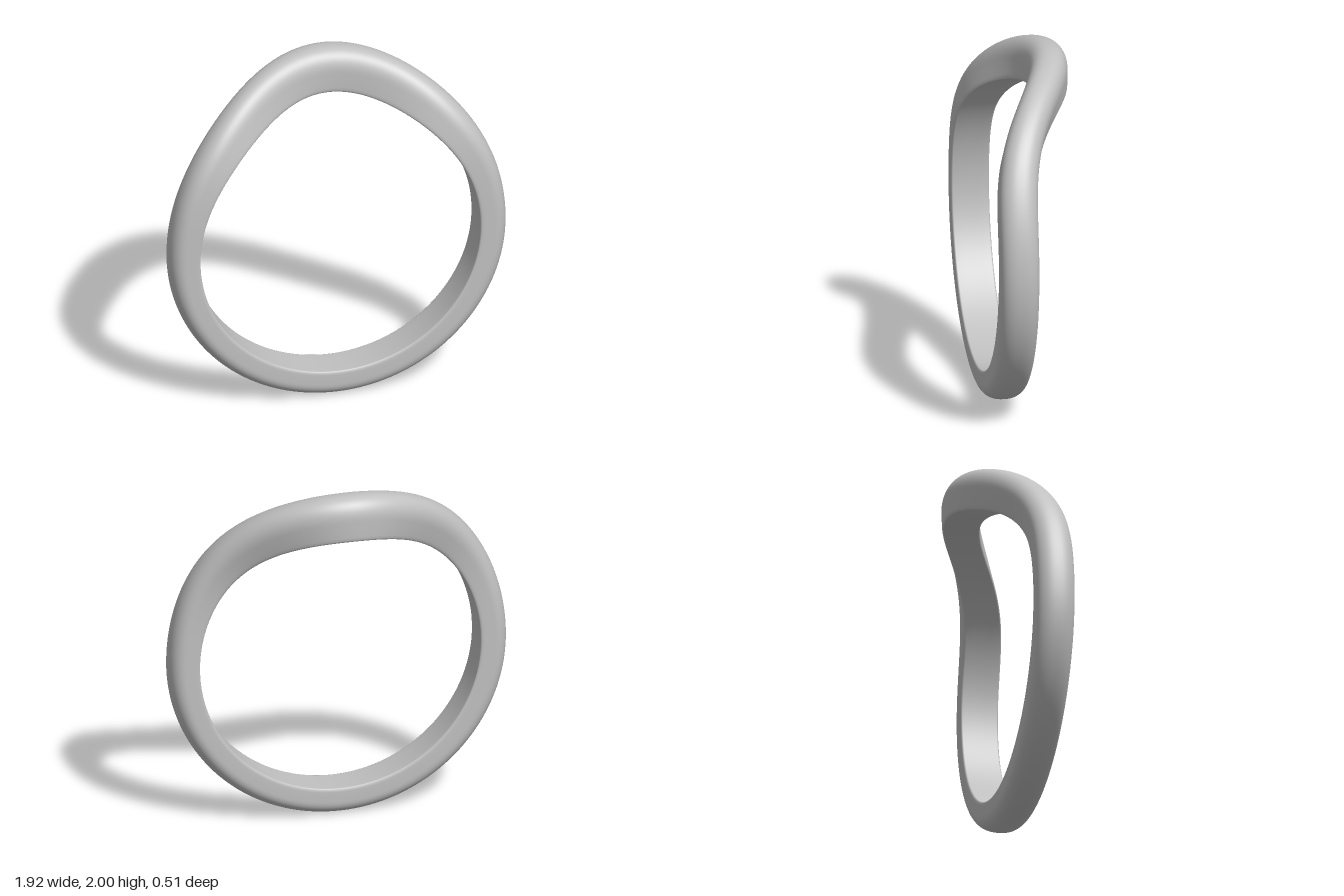
import * as THREE from 'three';

// Half-round band section: u across the width (-1..1), v from inner face (0) to crown (1)
function bandSection() {
  const pts = [];
  // rounded crown, from the front side over to the back side
  const steps = 28, shoulder = 0.48, n = 2 / 2.3;
  for (let k = 0; k <= steps; k++) {
    const a = (k / steps) * Math.PI;
    const c = Math.cos(a), s = Math.max(0, Math.sin(a));
    pts.push([Math.sign(c) * Math.abs(c) ** n, shoulder + (1 - shoulder) * s ** n]);
  }
  // back side, softened edge, flat inner face, softened edge, front side
  const half = [[1, 0.3], [1, 0.12], [0.985, 0.05], [0.95, 0.01], [0.9, 0], [0.5, 0]];
  half.forEach(([u, v]) => pts.push([-u, v]));
  pts.push([0, 0]);
  half.slice().reverse().forEach(([u, v]) => pts.push([u, v]));
  return pts;
}

// Sweeps the section around the ring, pushing the top backwards and thickening it
function bandGeometry() {
  const section = bandSection(), m = section.length, rings = 192;
  const inner = 0.797, thickness = 0.161, halfWidth = 0.107, centreY = 0.958;
  const position = [], index = [];
  for (let i = 0; i < rings; i++) {
    const t = (i / rings) * Math.PI * 2;
    const up = Math.max(0, Math.cos(t));
    const z = 0.147 - 0.295 * up ** 5;
    const depth = thickness + 0.084 * up ** 2;
    section.forEach(([u, v], j) => {
      const r = inner + depth * v;
      position.push(r * Math.sin(t), centreY + r * Math.cos(t), z + halfWidth * u);
      const a = i * m + j, b = ((i + 1) % rings) * m + j;
      const c = i * m + (j + 1) % m, d = ((i + 1) % rings) * m + (j + 1) % m;
      index.push(a, b, c, b, d, c);
    });
  }
  const geometry = new THREE.BufferGeometry();
  geometry.setAttribute('position', new THREE.Float32BufferAttribute(position, 3));
  geometry.setIndex(index);
  geometry.computeVertexNormals();
  return geometry;
}

export function createModel() {
  const group = new THREE.Group();
  group.name = 'curvedRing';
  const metal = new THREE.MeshStandardMaterial({ color: 0xc0c0c0 });
  metal.name = 'silver grey';
  const band = new THREE.Mesh(bandGeometry(), metal);
  band.name = 'band';
  group.add(band);
  return group;
}
